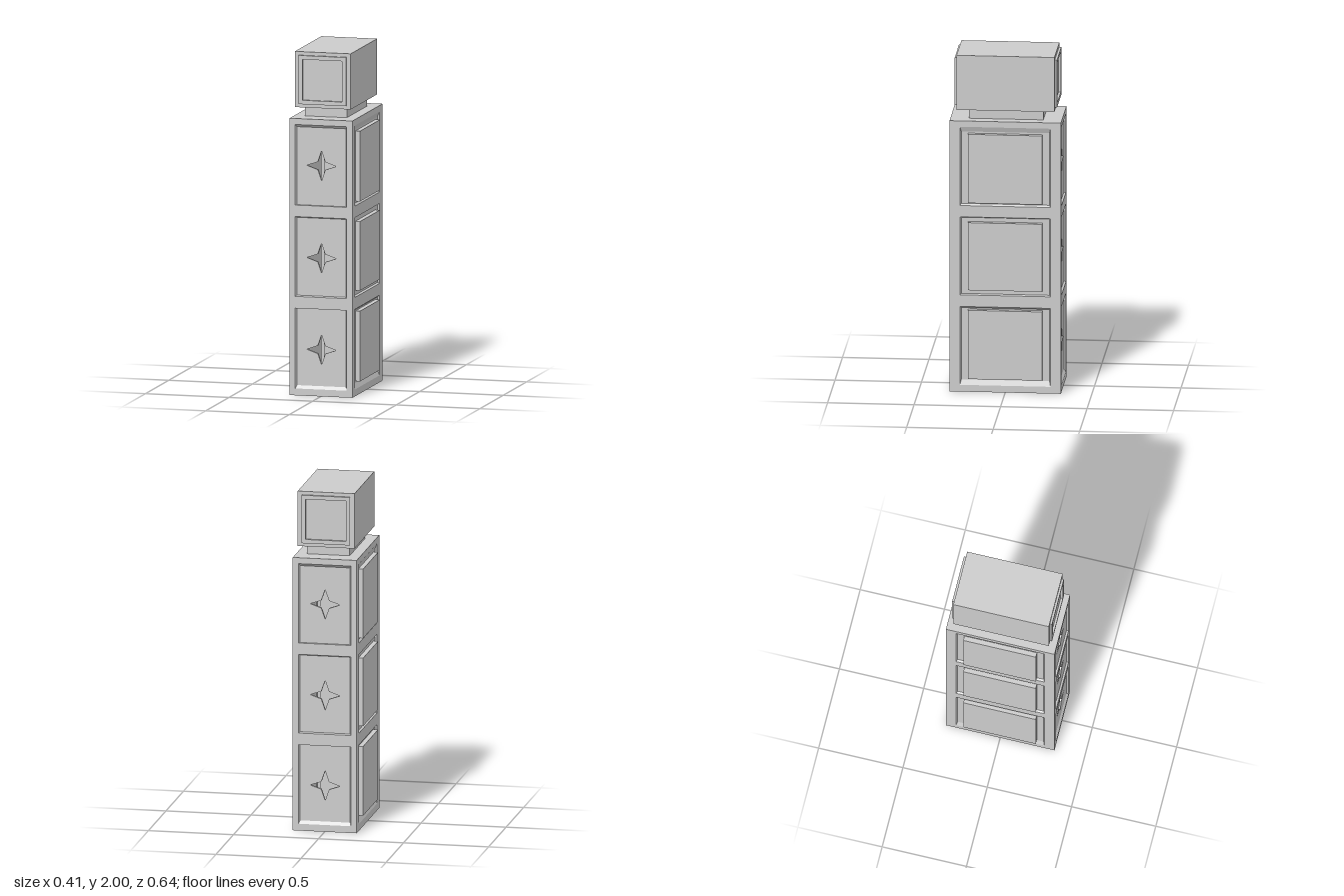
import * as THREE from 'three';

const grey = new THREE.MeshStandardMaterial({ color: 0xcccccc, flatShading: true });
const SKIN = 0.012, PLATE = 0.015;          // frame and panel thickness
const HX = 0.188, HZ = 0.322, TOP = 1.615;  // half sizes and height of the hollow body

const corners = ([l, r, b, t]) => [[l, b], [r, b], [r, t], [l, t]];
const points = (list) => list.map(([x, y]) => new THREE.Vector2(x, y));

function mesh(name, geometry, x = 0, y = 0, z = 0) {
  const m = new THREE.Mesh(geometry, grey);
  m.name = name;
  m.position.set(x, y, z);
  return m;
}

function box(name, w, h, d, x, y, z) {
  return mesh(name, new THREE.BoxGeometry(w, h, d), x, y, z);
}

// flat slab with holes
function slab(outline, holes, depth) {
  const shape = new THREE.Shape(points(outline));
  holes.forEach((h) => shape.holes.push(new THREE.Path(points(h))));
  return new THREE.ExtrudeGeometry(shape, { depth, bevelEnabled: false });
}

// sloping border from an outer rectangle down to a recessed inner one
function slope(outer, inner, depth) {
  const o = corners(outer), n = corners(inner), pos = [];
  for (let i = 0; i < 4; i++) {
    const j = (i + 1) % 4;
    const q = [[...o[i], 0], [...o[j], 0], [...n[j], -depth], [...n[i], -depth]];
    [0, 1, 2, 0, 2, 3].forEach((k) => pos.push(...q[k]));
  }
  const g = new THREE.BufferGeometry();
  g.setAttribute('position', new THREE.Float32BufferAttribute(pos, 3));
  g.computeVertexNormals();
  return g;
}

// four-pointed star outline
function star(cy) {
  return Array.from({ length: 8 }, (_, i) => {
    const a = (i * Math.PI) / 4, r = i % 2 ? 0.032 : 0.088;
    return [r * Math.cos(a), cy + r * Math.sin(a)];
  });
}

// bottom and top of each recess, with the run of its lower and upper slopes
const rows = [
  { b: 0.04, t: 0.508, front: [0.018, 0.001], side: [0.03, 0.01], star: 0.27, panel: [0.08, 0.49] },
  { b: 0.577, t: 1.043, front: [0.006, 0.006], side: [0.006, 0.006], star: 0.805, panel: [0.61, 1.013] },
  { b: 1.11, t: 1.58, front: [0.001, 0.014], side: [0.01, 0.03], star: 1.343, panel: [1.13, 1.54] },
];

// one wall of the body, outer face on local z = 0
function wall(name, half, recess, isSide) {
  const g = new THREE.Group();
  g.name = name;
  const rects = rows.map((r) => [-recess, recess, r.b, r.t]);
  g.add(mesh('wallFrame', slab(corners([-half, half, 0, TOP]), rects.map(corners), SKIN), 0, 0, -SKIN));
  rows.forEach((r, i) => {
    const [lo, hi] = isSide ? r.side : r.front;
    const inner = [-recess + 0.007, recess - 0.007, r.b + lo, r.t - hi];
    g.add(mesh('recessBorder', slope(rects[i], inner, SKIN)));
    g.add(mesh('recessedPanel', slab(corners(rects[i]), isSide ? [] : [star(r.star)], PLATE), 0, 0, -SKIN - PLATE));
    if (isSide) {
      const [p0, p1] = r.panel, back = -SKIN - PLATE - 0.002, out = 0.016;
      g.add(box('raisedPanel', 0.43, p1 - p0, out - back, 0, (p0 + p1) / 2, (out + back) / 2));
    }
  });
  return g;
}

export function createModel() {
  const model = new THREE.Group();
  model.name = 'tower';

  // hollow body, open underneath
  for (const s of [1, -1]) {
    const end = wall(s > 0 ? 'frontWall' : 'backWall', HX, 0.154, false);
    end.position.z = s * HZ;
    end.rotation.y = s > 0 ? 0 : Math.PI;
    const side = wall(s > 0 ? 'leftWall' : 'rightWall', HZ - SKIN, 0.262, true);
    side.position.x = s * HX;
    side.rotation.y = (s * Math.PI) / 2;
    model.add(end, side);
  }
  model.add(box('bodyTop', 2 * HX, SKIN, 2 * HZ, 0, TOP - SKIN / 2, 0));

  // neck and head
  model.add(box('neck', 0.25, 0.07, 0.43, 0, 1.645, 0));
  model.add(box('head', 0.334, 0.325, 0.566, 0, 1.8375, 0));

  // raised square frames on both ends of the head
  const frame = slab(corners([-0.142, 0.142, -0.142, 0.142]), [corners([-0.119, 0.119, -0.119, 0.119])], 0.013);
  for (const s of [1, -1]) {
    const m = mesh(s > 0 ? 'frontHeadFrame' : 'backHeadFrame', frame, 0, 1.8375, s * 0.283);
    m.rotation.y = s > 0 ? 0 : Math.PI;
    model.add(m);
  }
  return model;
}
